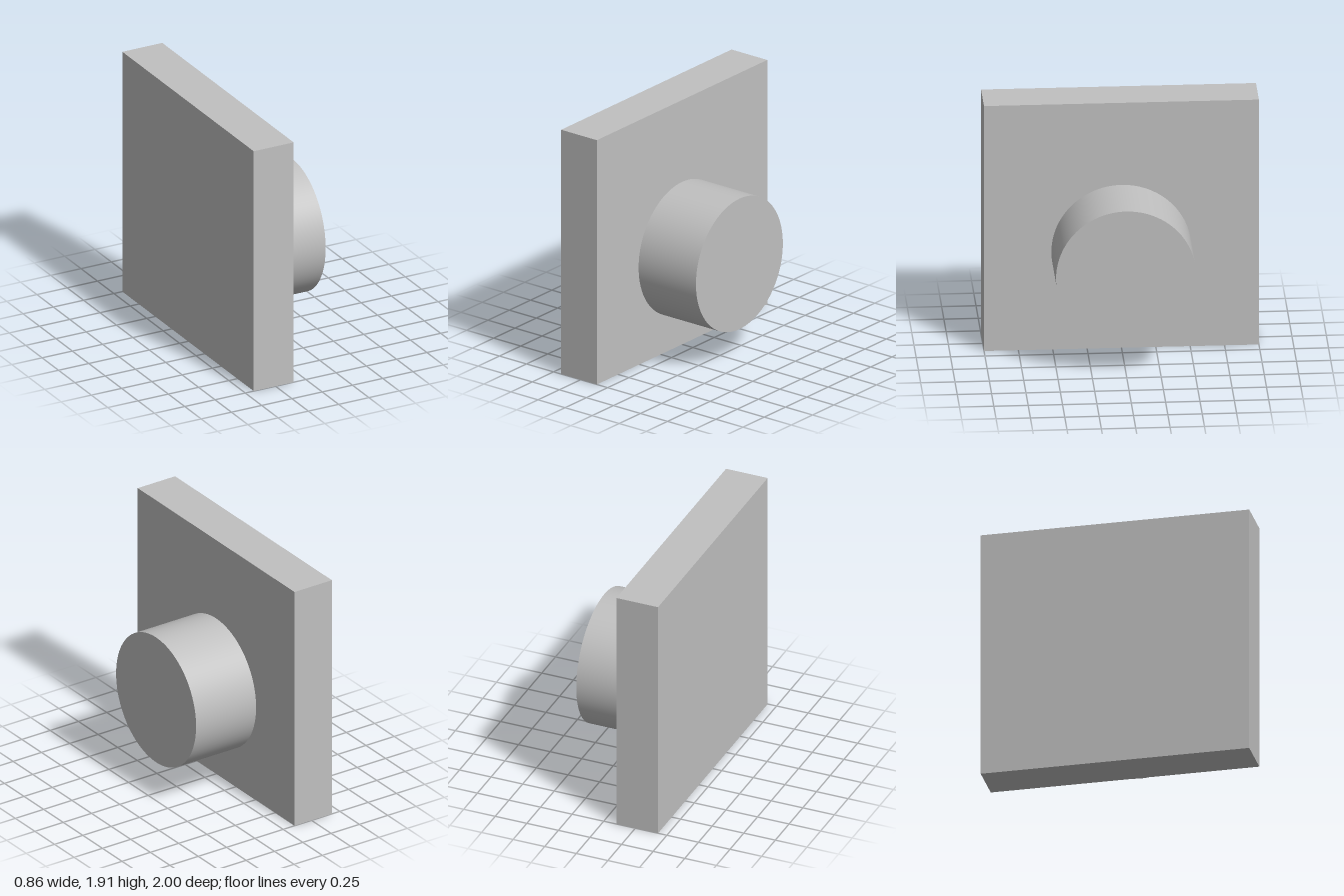
import * as THREE from 'three';

export function createModel() {
  const model = new THREE.Group();
  const grey = new THREE.MeshStandardMaterial({ color: 0xc0c0c0 });
  grey.name = 'light grey';

  const add = (name, geometry, x, y) => {
    const mesh = new THREE.Mesh(geometry, grey);
    mesh.name = name;
    mesh.position.set(x, y, 0);
    model.add(mesh);
  };

  // Upright rectangular plate
  const left = -0.43, face = -0.1, right = 0.43, height = 1.91;
  add('plate', new THREE.BoxGeometry(face - left, height, 2), (left + face) / 2, height / 2);

  // Round boss lying along x, set below the middle of the plate
  const boss = new THREE.CylinderGeometry(0.51, 0.51, right - face, 96);
  boss.rotateZ(-Math.PI / 2);
  add('boss', boss, (face + right) / 2, 0.76);

  return model;
}
